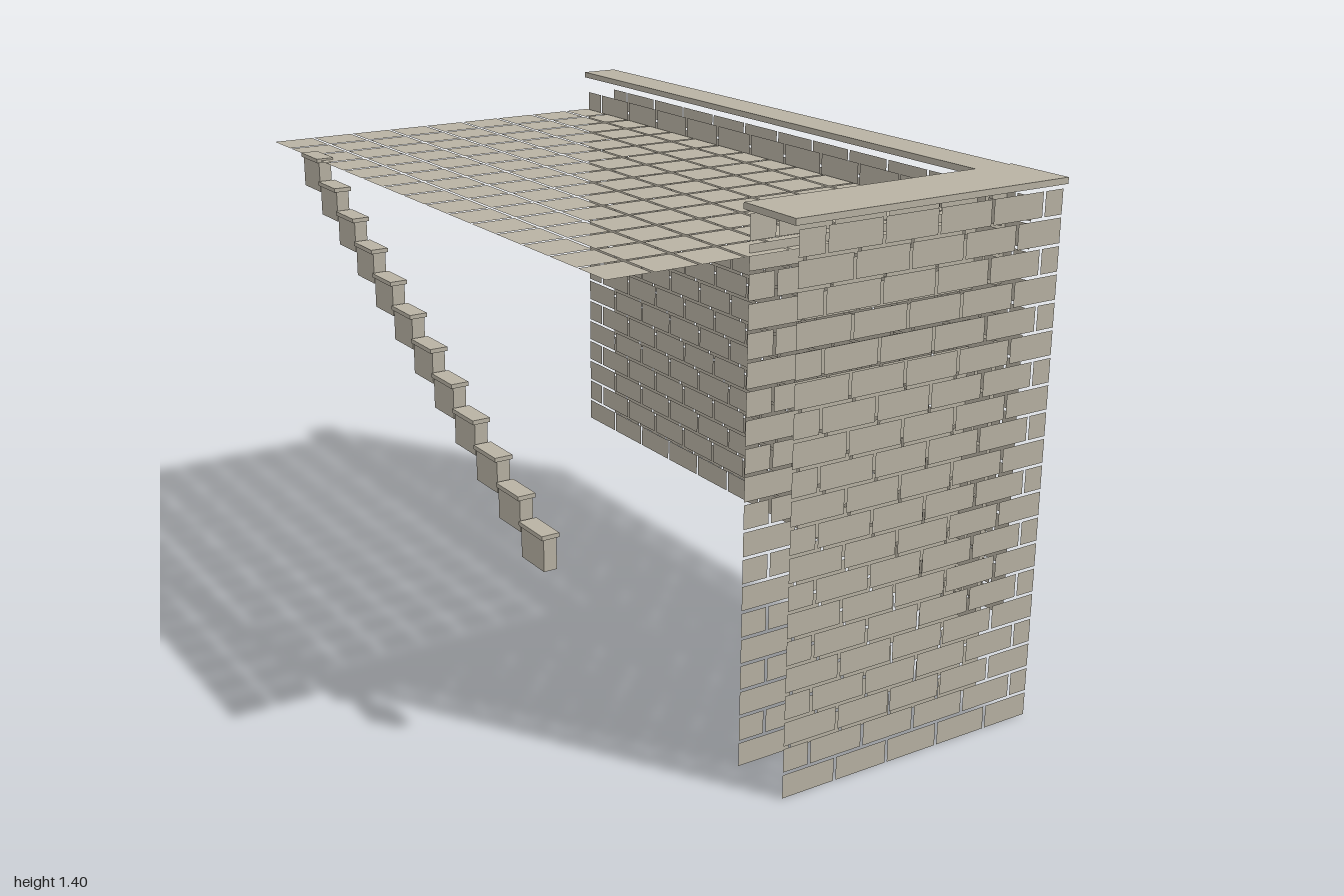
import * as THREE from 'three';
import { mergeGeometries } from 'three/addons/utils/BufferGeometryUtils.js';

const stone = new THREE.MeshStandardMaterial({ color: 0xb8b2a3, side: THREE.DoubleSide });
stone.name = 'warm grey stone';

// Flat slabs with open joints, laid from (0, 0) and cut off at the given width and height
function laySlabs({ width, height, pitchU, pitchV, gap, stagger }) {
  const slabs = [];
  for (let row = 0; row * pitchV < height - gap; row++) {
    const v0 = row * pitchV;
    const v1 = Math.min(v0 + pitchV - gap, height);
    const start = stagger && row % 2 ? -pitchU / 2 : 0;
    for (let u = start; u < width - gap; u += pitchU) {
      const u0 = Math.max(u, 0);
      const u1 = Math.min(u + pitchU - gap, width);
      slabs.push(new THREE.PlaneGeometry(u1 - u0, v1 - v0).translate((u0 + u1) / 2, (v0 + v1) / 2, 0));
    }
  }
  return mergeGeometries(slabs);
}

const BRICK = { pitchU: 0.16, pitchV: 0.0693, gap: 0.0073, stagger: true };

export function createModel() {
  const model = new THREE.Group();
  model.name = 'walledTerrace';

  const add = (name, geometry, parent = model) => {
    const mesh = new THREE.Mesh(geometry, stone);
    mesh.name = name;
    parent.add(mesh);
    return mesh;
  };
  // Box given by its minimum and maximum corners
  const block = (name, [x0, y0, z0], [x1, y1, z1], parent) =>
    add(name, new THREE.BoxGeometry(x1 - x0, y1 - y0, z1 - z0)
      .translate((x0 + x1) / 2, (y0 + y1) / 2, (z0 + z1) / 2), parent);

  // Tall front wall: two brick faces with a hollow between
  const frontBricks = laySlabs({ width: 0.775, height: 1.379, ...BRICK });
  add('frontWallOuterFace', frontBricks).position.set(-0.195, 0, 0.997);
  add('frontWallInnerFace', frontBricks).position.set(-0.195, 0, 0.819);

  // Long side wall: two brick faces, laid from the back towards the front
  const sideBricks = laySlabs({ width: 1.89, height: 1.1, ...BRICK });
  for (const [name, x] of [['sideWallOuterFace', 0.574], ['sideWallInnerFace', 0.479]]) {
    const face = add(name, sideBricks);
    face.rotation.y = -Math.PI / 2;
    face.position.set(x, 0.243, -0.985);
  }

  // Coping slabs over both walls
  block('frontCoping', [-0.207, 1.389, 0.81], [0.592, 1.405, 1]);
  block('sideCoping', [0.473, 1.389, -1], [0.581, 1.405, 0.81]);

  // Paved terrace
  const paving = laySlabs({ width: 1.06, height: 1.834, pitchU: 0.1228, pitchV: 0.1228, gap: 0.0075 });
  paving.rotateX(-Math.PI / 2).scale(1, 1, 1);
  add('terracePaving', paving).position.set(-0.585, 1.289, 0.844);
  // Lay full tiles from the back edge
  model.getObjectByName('terracePaving').scale.z = -1;
  model.getObjectByName('terracePaving').position.z = -0.99;

  // Narrow flight of steps climbing to the back
  const stairs = new THREE.Group();
  stairs.name = 'stairs';
  model.add(stairs);
  for (let i = 0; i < 12; i++) {
    const y = 0.515 + i * 0.0624;
    const z = 0.57 - i * 0.1117;
    block('stepBlock', [-0.588, y, z - 0.111], [-0.553, y + 0.082, z - 0.004], stairs);
    block('stepTread', [-0.595, y + 0.082, z - 0.111], [-0.547, y + 0.093, z], stairs);
  }
  return model;
}
